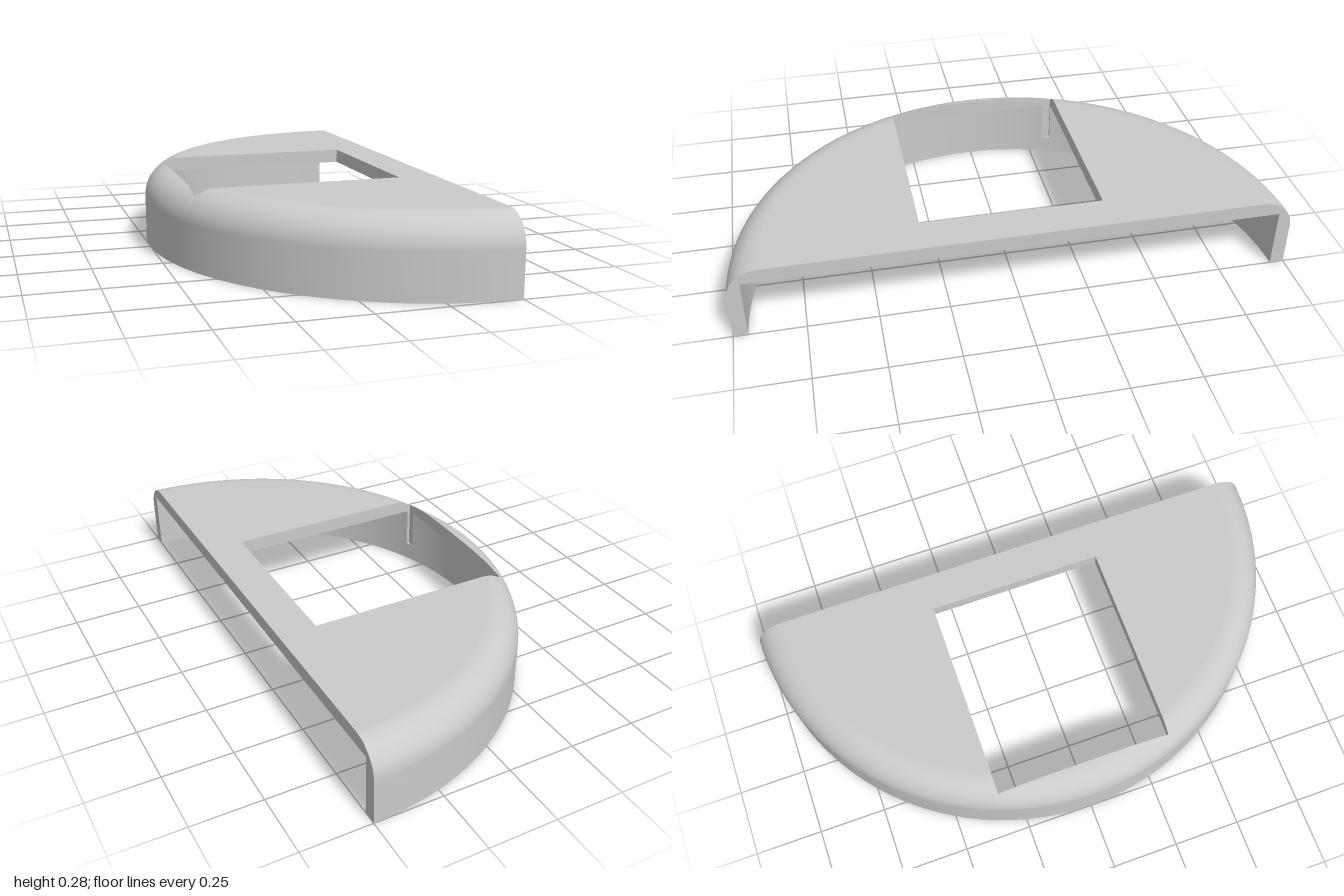
import * as THREE from 'three';
import { mergeGeometries, mergeVertices } from 'three/addons/utils/BufferGeometryUtils.js';

// Half-disc cover: arc centre at (CX, 0), rounded rim, rectangular window cut through
const CX = 0.5, R = 1, RI = 0.949, H = 0.276, CEIL = 0.224, F = 0.112;
const WX0 = -0.4, WX1 = 0.36, WZ = 0.33, NOTCH = 0.07;
const HALF = Math.PI / 2, STEP = 0.025;
const RF = R - F;                               // where the flat top ends
const D = CX - WX0;                             // window's far edge from the arc centre
const CORNER = Math.atan2(WZ, D);
const FLAT_CUT = Math.asin(WZ / RF);            // window side meets flat top's arc
const IN_CUT = Math.asin(WZ / RI);              // window side meets inner wall
const IN_EDGE = Math.acos(D / RI);              // window's far edge meets inner wall

const polar = (t, r, y) => [CX - r * Math.cos(t), y, r * Math.sin(t)];
const windowReach = t => Math.min(D / Math.cos(t), WZ / Math.max(Math.abs(Math.sin(t)), 1e-6));
const topHeight = r => r <= RF ? H : H - F + Math.sqrt(Math.max(0, F * F - (r - RF) ** 2));

// Evenly spaced values through a list of break points
function steps(...breaks) {
  const out = [breaks[0]];
  for (let k = 1; k < breaks.length; k++) {
    const a = breaks[k - 1], b = breaks[k];
    const n = Math.max(1, Math.ceil(Math.abs(b - a) / STEP));
    for (let i = 1; i <= n; i++) out.push(a + (b - a) * i / n);
  }
  return out;
}

// Surface through rows of points; normal = row direction x column direction
function grid(rows) {
  const n = rows[0].length, index = [];
  for (let i = 0; i < rows.length - 1; i++) {
    for (let j = 0; j < n - 1; j++) {
      const a = i * n + j, b = a + n;
      index.push(a, b, a + 1, b, b + 1, a + 1);
    }
  }
  const g = new THREE.BufferGeometry();
  g.setAttribute('position', new THREE.Float32BufferAttribute(rows.flat(2), 3));
  g.setIndex(index);
  g.computeVertexNormals();
  return g;
}

const face = pts => new THREE.ShapeGeometry(new THREE.Shape(pts.map(p => new THREE.Vector2(p[0], p[1]))));

// Half disc of radius r with the window opening through its arc
function deck(r, cut) {
  const arc = (a, b) => steps(a, b).map(t => [CX - r * Math.cos(t), r * Math.sin(t)]);
  return face([...arc(-HALF, -cut), [WX1, -WZ], [WX1, WZ], ...arc(cut, HALF)]);
}

// Joins surfaces into one with shared, smooth normals
function smoothJoin(parts) {
  for (const g of parts) {
    g.deleteAttribute('normal');
    g.deleteAttribute('uv');
  }
  const joined = mergeVertices(mergeGeometries(parts), 1e-4);
  joined.computeVertexNormals();
  return joined;
}

export function createModel() {
  const group = new THREE.Group();
  const grey = new THREE.MeshStandardMaterial({ color: 0xcbcbcb });
  grey.name = 'light grey';
  const add = (name, geometry) => {
    const m = new THREE.Mesh(geometry, grey);
    m.name = name;
    group.add(m);
  };
  // Band swept round the arc between two points given per angle
  const band = (name, angles, from, to) =>
    add(name, grid(angles.map(t => [from(t), to(t)])));

  // Outer wall and rounded rim, trimmed by the window, blending into the flat top
  const rim = grid(steps(-HALF, -FLAT_CUT, -CORNER, CORNER, FLAT_CUT, HALF).map(t => {
    const end = Math.acos(Math.min(1, (Math.max(RF, windowReach(t)) - RF) / F));
    const row = [polar(t, R, 0)];
    for (let j = 0; j <= 14; j++) {
      const p = end * j / 14;
      row.push(polar(t, RF + F * Math.cos(p), H - F + F * Math.sin(p)));
    }
    return row;
  }));
  add('outerShell', smoothJoin([rim, deck(RF, FLAT_CUT).rotateX(-HALF).translate(0, H, 0)]));

  // Ceiling, with the sliver beyond the window
  add('ceiling', deck(RI, IN_CUT).rotateX(HALF).translate(0, CEIL, 0));
  band('ceilingSliver', steps(-IN_EDGE, IN_EDGE),
    t => polar(t, D / Math.cos(t), CEIL), t => polar(t, RI, CEIL));

  // Inner wall, lower at the two corner notches
  const innerWall = (a, b, top) => band('innerWall', steps(a, b), t => polar(t, RI, top), t => polar(t, RI, 0));
  innerWall(-HALF, -IN_CUT, CEIL);
  innerWall(-IN_CUT, -IN_EDGE, NOTCH);
  innerWall(-IN_EDGE, IN_EDGE, CEIL);
  innerWall(IN_EDGE, IN_CUT, NOTCH);
  innerWall(IN_CUT, HALF, CEIL);
  for (const angles of [steps(-IN_CUT, -CORNER, -IN_EDGE), steps(IN_EDGE, CORNER, IN_CUT)]) {
    band('notchFloor', angles, t => polar(t, windowReach(t), NOTCH), t => polar(t, RI, NOTCH));
  }

  // Underside of the wall
  band('bottomEdge', steps(-HALF, HALF), t => polar(t, RI, 0), t => polar(t, R, 0));

  // Straight end: arch-shaped section
  const arch = [];
  for (const s of [1, -1]) {
    const half = [[s * RI, CEIL], [s * RI, 0], [s * R, 0]];
    for (let j = 0; j <= 14; j++) {
      const p = HALF * j / 14;
      half.push([s * (RF + F * Math.cos(p)), H - F + F * Math.sin(p)]);
    }
    arch.push(...(s > 0 ? half : half.reverse()));
  }
  add('straightEnd', face(arch).rotateY(HALF).translate(CX, 0, 0));

  // Window sides, following the rounded rim along their top edge
  const side = (x0, z0, x1, z1, bottom) => {
    const rows = [];
    for (let i = 0; i <= 16; i++) {
      const x = x0 + (x1 - x0) * i / 16, z = z0 + (z1 - z0) * i / 16;
      rows.push([[x, bottom, z], [x, topHeight(Math.hypot(x - CX, z)), z]]);
    }
    add('windowSide', grid(rows));
  };
  const xFlat = CX - RF * Math.cos(FLAT_CUT), xIn = CX - RI * Math.cos(IN_CUT);
  const zIn = RI * Math.sin(IN_EDGE);
  side(WX1, -WZ, WX1, WZ, CEIL);
  side(WX1, WZ, xFlat, WZ, CEIL);
  side(xFlat, WZ, xIn, WZ, CEIL);
  side(xIn, WZ, WX0, WZ, NOTCH);
  side(WX0, WZ, WX0, zIn, NOTCH);
  side(WX0, zIn, WX0, -zIn, CEIL);
  side(WX0, -zIn, WX0, -WZ, NOTCH);
  side(WX0, -WZ, xIn, -WZ, NOTCH);
  side(xIn, -WZ, xFlat, -WZ, CEIL);
  side(xFlat, -WZ, WX1, -WZ, CEIL);
  return group;
}
